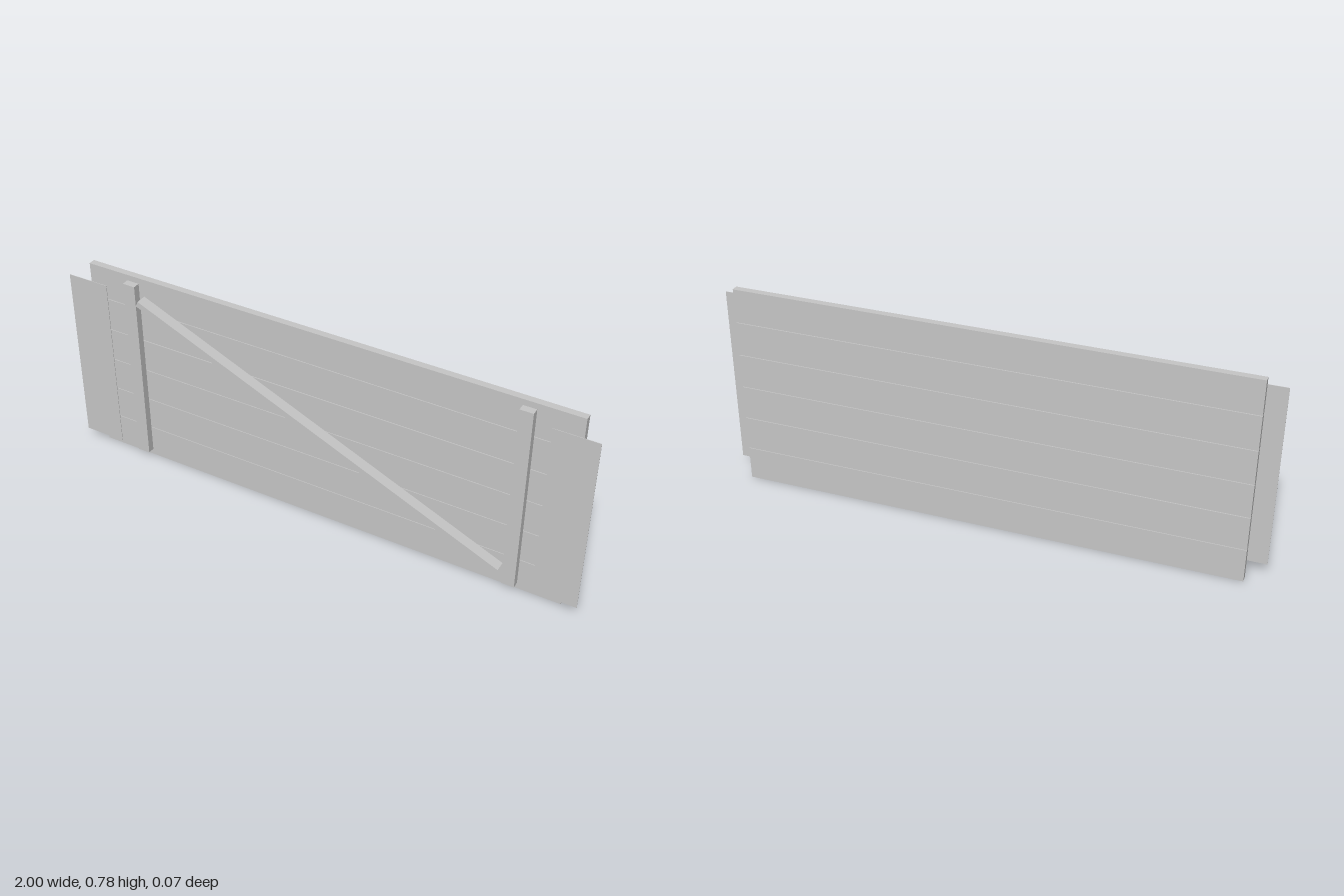
import * as THREE from 'three';

export function createModel() {
  const group = new THREE.Group();
  const lightGrey = new THREE.MeshStandardMaterial({ color: 0xc5c5c5 });
  lightGrey.name = 'lightGrey';

  // Box given by its extents along each axis
  const addBox = (name, [x0, x1], [y0, y1], [z0, z1]) => {
    const mesh = new THREE.Mesh(new THREE.BoxGeometry(x1 - x0, y1 - y0, z1 - z0), lightGrey);
    mesh.position.set((x0 + x1) / 2, (y0 + y1) / 2, (z0 + z1) / 2);
    mesh.name = name;
    group.add(mesh);
    return mesh;
  };

  // Six horizontal planks with narrow gaps
  const plankHeight = 0.128, pitch = 0.1305;
  for (let i = 0; i < 6; i++) {
    const y = i * pitch;
    addBox(`plank${i + 1}`, [-0.934, 0.934], [y, y + plankHeight], [-0.033, -0.008]);
  }

  // Upright battens and thin end plates on both sides
  for (const [side, s] of [['left', 1], ['right', -1]]) {
    const span = (a, b) => (s > 0 ? [a, b] : [-b, -a]);
    addBox(`${side}Batten`, span(0.725, 0.773), [0.024, 0.758], [-0.008, 0.019]);
    addBox(`${side}EndPlate`, span(0.84, 1), [0.046, 0.734], [0.027, 0.029]);
  }

  // Diagonal brace between the battens
  const brace = addBox('diagonalBrace', [-0.775, 0.775], [0.378, 0.401], [-0.008, 0.033]);
  brace.rotation.z = -Math.atan2(0.624, 1.42);

  return group;
}
